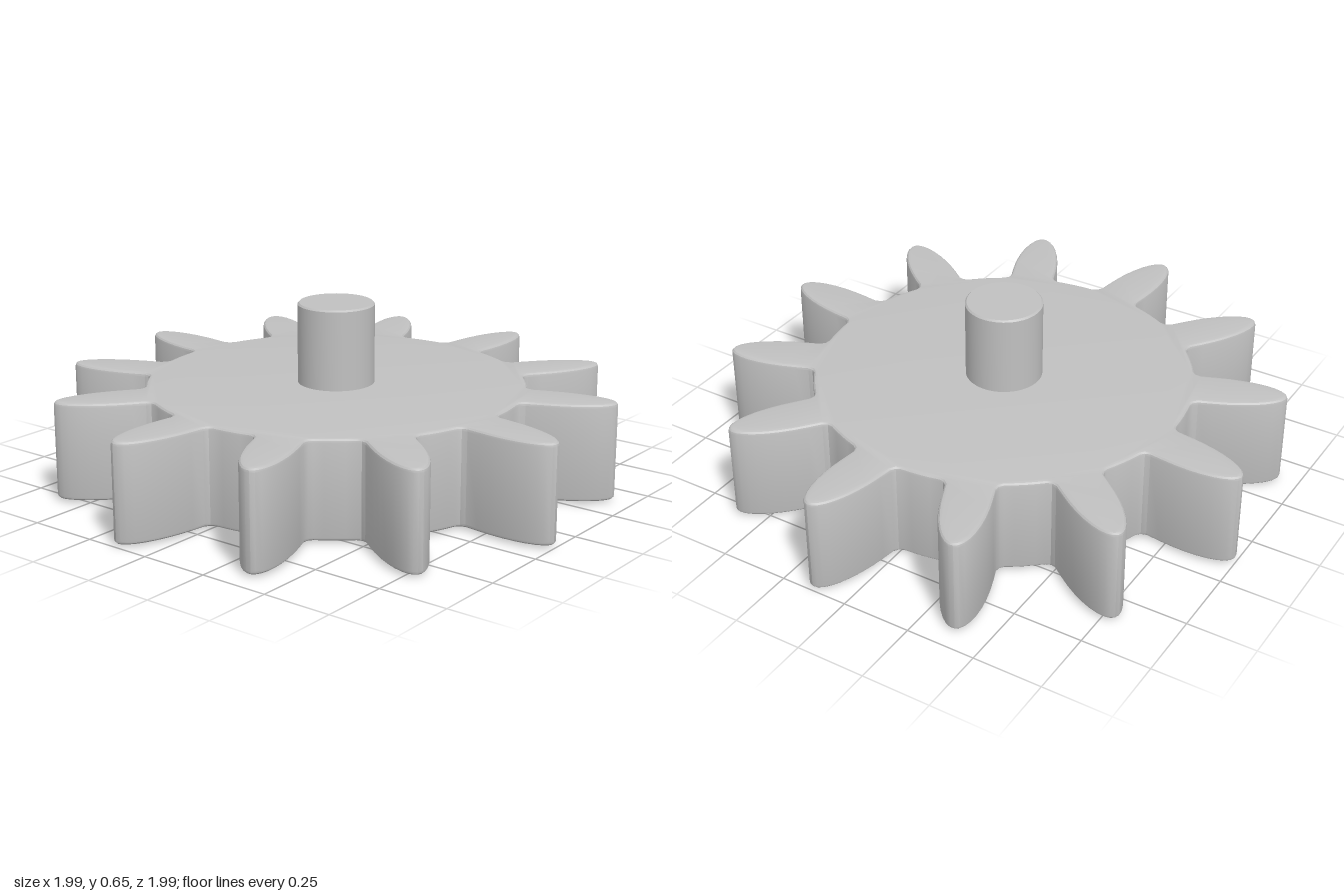
import * as THREE from 'three';
import { toCreasedNormals } from 'three/addons/utils/BufferGeometryUtils.js';

const TEETH = 12;
const PHASE = -Math.PI / 24;      // tooth axes sit 7.5 degrees off the x axis
const ROOT = 0.68;                // radius of the disc between teeth
const TOOTH = { centre: 0.75, length: 0.255, half: 0.085 };
const BOTTOM = 0.008, TOP = 0.36, BEVEL = 0.014;

// One side-to-side tooth profile as [radial, sideways] points, with small root fillets
function toothProfile() {
  const { centre, length, half } = TOOTH;
  const points = [[ROOT - 0.008, -half - 0.022], [ROOT + 0.001, -half - 0.008], [ROOT + 0.018, -half]];
  const steps = 16;
  for (let i = 0; i <= steps; i++) {
    const t = -Math.PI / 2 + (Math.PI * i) / steps;
    points.push([centre + length * Math.cos(t), half * Math.sin(t)]);
  }
  points.push([ROOT + 0.018, half], [ROOT + 0.001, half + 0.008], [ROOT - 0.008, half + 0.022]);
  return points;
}

// Closed outline of the whole wheel
function gearShape() {
  const outline = [];
  const profile = toothProfile();
  const pitch = (Math.PI * 2) / TEETH;
  const edge = Math.atan2(TOOTH.half + 0.022, ROOT);
  for (let k = 0; k < TEETH; k++) {
    const a = PHASE + k * pitch, c = Math.cos(a), s = Math.sin(a);
    for (const [r, w] of profile) outline.push(new THREE.Vector2(r * c - w * s, r * s + w * c));
    // arc of the disc up to the next tooth
    for (let i = 1; i < 4; i++) {
      const b = a + edge + ((pitch - 2 * edge) * i) / 4;
      outline.push(new THREE.Vector2(ROOT * Math.cos(b), ROOT * Math.sin(b)));
    }
  }
  return new THREE.Shape(outline);
}

export function createModel() {
  const group = new THREE.Group();
  group.name = 'gear';
  const steel = new THREE.MeshStandardMaterial({ color: 0xc0c0c0 });
  steel.name = 'grey steel';

  // Toothed wheel with softly rounded rims
  const wheelGeometry = new THREE.ExtrudeGeometry(gearShape(), {
    depth: TOP - BOTTOM - 2 * BEVEL,
    bevelEnabled: true, bevelThickness: BEVEL, bevelSize: BEVEL, bevelOffset: -BEVEL, bevelSegments: 3,
  });
  wheelGeometry.rotateX(-Math.PI / 2);
  wheelGeometry.translate(0, BOTTOM + BEVEL, 0);
  const wheel = new THREE.Mesh(toCreasedNormals(wheelGeometry, 0.5), steel);
  wheel.name = 'toothedWheel';
  group.add(wheel);

  // Axle through the middle, with a fine chamfer at both ends
  const axleProfile = [[0, 0], [0.131, 0], [0.137, 0.006], [0.137, 0.644], [0.131, 0.65], [0, 0.65]]
    .map(([x, y]) => new THREE.Vector2(x, y));
  const axle = new THREE.Mesh(toCreasedNormals(new THREE.LatheGeometry(axleProfile, 48), 0.5), steel);
  axle.name = 'axle';
  group.add(axle);
  return group;
}
